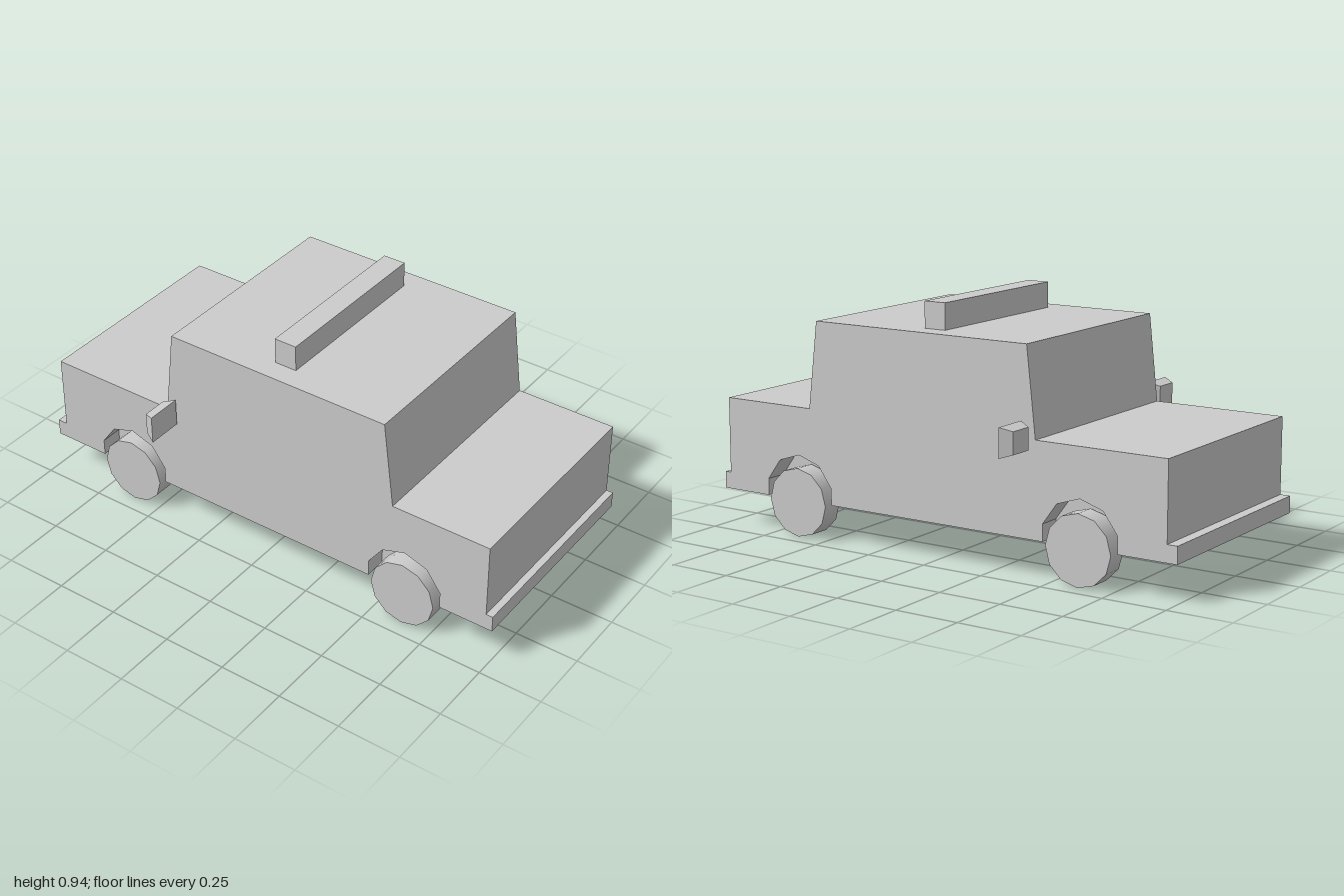
import * as THREE from 'three';

const FRONT_AXLE = 0.63, REAR_AXLE = -0.615, AXLE_Y = 0.133;
const HALF_WIDTH = 0.428, CORE_HALF = 0.34, FLOOR = 0.14;

export function createModel() {
  const car = new THREE.Group();
  car.name = 'pickupTruck';
  const material = new THREE.MeshStandardMaterial({ color: 0xcccccc });
  const add = (name, geometry, x = 0, y = 0, z = 0) => {
    const mesh = new THREE.Mesh(geometry, material);
    mesh.name = name;
    mesh.position.set(x, y, z);
    car.add(mesh);
    return mesh;
  };

  // Half-decagon wheel arch with straight sides down to the floor
  const arch = (z) => {
    const pts = [162, 126, 90, 54, 18].map((deg) => {
      const a = THREE.MathUtils.degToRad(deg);
      return [z + 0.16 * Math.cos(a), 0.155 + 0.16 * Math.sin(a)];
    });
    return [[pts[0][0], FLOOR], ...pts, [pts[4][0], FLOOR]];
  };

  // Side profile (z, y): bumpers, bonnet, cabin and rear deck
  const upper = [
    [1, FLOOR], [1, 0.205], [0.973, 0.205], [0.973, 0.5], [0.575, 0.5], [0.535, 0.835],
    [-0.395, 0.835], [-0.432, 0.5], [-0.96, 0.5], [-0.96, 0.205], [-1, 0.205], [-1, FLOOR],
  ];
  const slab = (points, xMin, xMax) => {
    const shape = new THREE.Shape(points.map(([z, y]) => new THREE.Vector2(z, y)));
    const g = new THREE.ExtrudeGeometry(shape, { depth: xMax - xMin, bevelEnabled: false });
    return g.rotateY(-Math.PI / 2).translate(xMax, 0, 0);
  };
  const arched = [...upper, ...arch(REAR_AXLE), ...arch(FRONT_AXLE)];
  add('bodyCore', slab(upper, -CORE_HALF, CORE_HALF));
  add('leftBodySide', slab(arched, CORE_HALF, HALF_WIDTH));
  add('rightBodySide', slab(arched, -HALF_WIDTH, -CORE_HALF));

  // Roof light bar
  add('roofLightBar', new THREE.BoxGeometry(0.686, 0.1, 0.09), 0, 0.885, 0.055);

  // Axles and wheels
  for (const [end, z] of [['front', FRONT_AXLE], ['rear', REAR_AXLE]]) {
    const axle = new THREE.CylinderGeometry(0.043, 0.043, 0.72, 10).rotateZ(Math.PI / 2);
    add(end + 'Axle', axle, 0, AXLE_Y, z);
    for (const [side, s] of [['Left', 1], ['Right', -1]]) {
      const wheel = new THREE.CylinderGeometry(0.133, 0.133, 0.085, 12).rotateZ(Math.PI / 2);
      add(end + side + 'Wheel', wheel, s * 0.3975, AXLE_Y, z);
    }
  }

  // Wing mirrors, tapering towards the rear
  for (const [side, s] of [['left', 1], ['right', -1]]) {
    const g = new THREE.BoxGeometry(0.14, 0.11, 0.045);
    const p = g.attributes.position;
    for (let i = 0; i < p.count; i++) {
      if (p.getZ(i) < 0) p.setXY(i, p.getX(i) * 0.68, p.getY(i) * 0.75);
    }
    g.computeVertexNormals();
    add(side + 'Mirror', g, s * 0.51, 0.51, -0.403);
  }

  return car;
}
